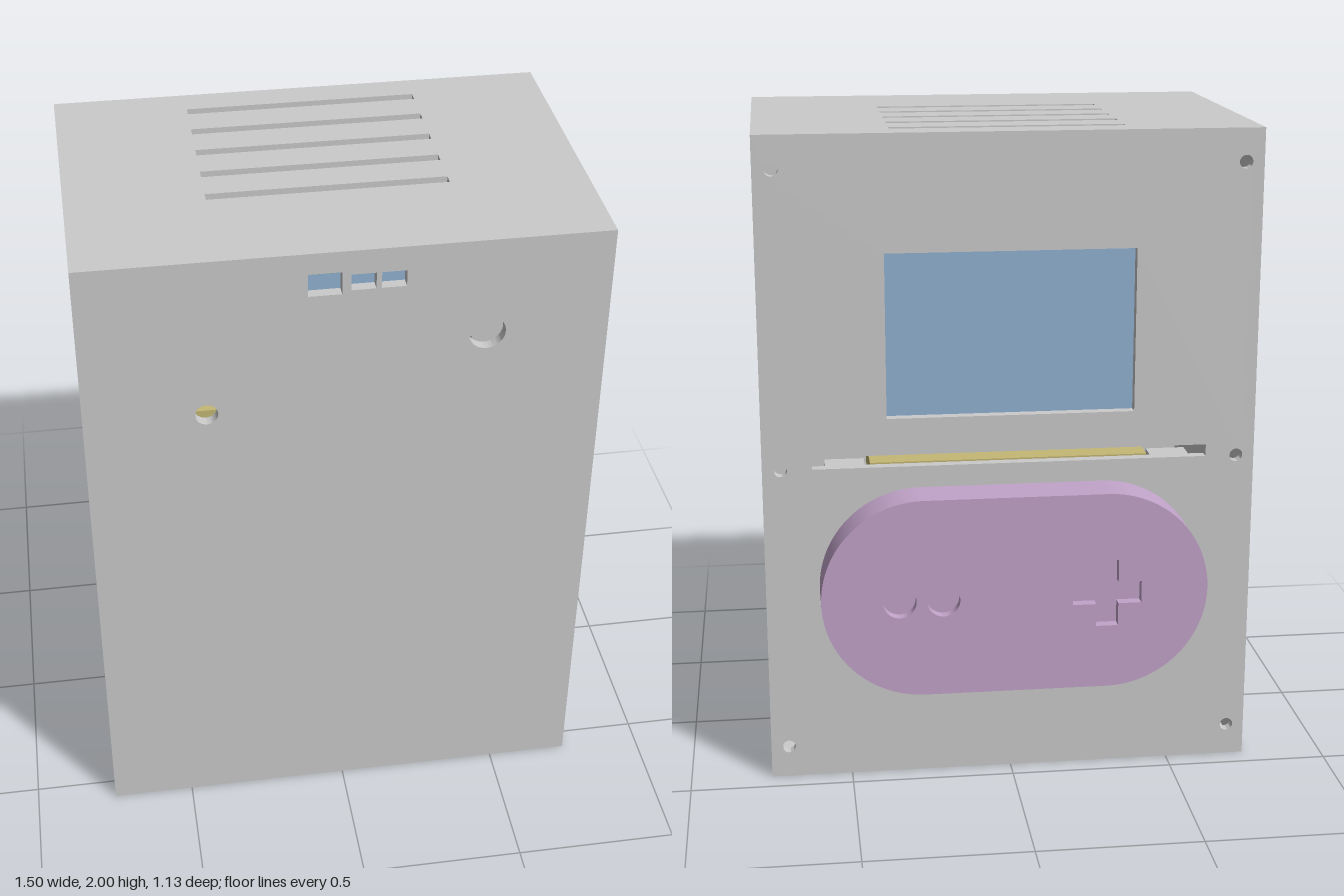
import * as THREE from 'three';
import { toCreasedNormals } from 'three/addons/utils/BufferGeometryUtils.js';

const GREY = 0xcccccc, PURPLE = 0xc2a4ca, BLUE = 0x93b3d4, YELLOW = 0xc4b875, GREEN = 0x78b87a;
const T = 0.033; // wall thickness
const W = 0.75, H = 2, BACK = -0.433, FRONT = 0.567;

function add(group, name, geometry, color = GREY) {
  const mesh = new THREE.Mesh(geometry, new THREE.MeshStandardMaterial({ color }));
  mesh.name = name;
  group.add(mesh);
  return mesh;
}

// Box given by its limits on each axis
function block(group, name, [x0, x1], [y0, y1], [z0, z1], color) {
  const mesh = add(group, name, new THREE.BoxGeometry(x1 - x0, y1 - y0, z1 - z0), color);
  mesh.position.set((x0 + x1) / 2, (y0 + y1) / 2, (z0 + z1) / 2);
  return mesh;
}

function rect(x0, x1, y0, y1) {
  return new THREE.Shape([[x0, y0], [x1, y0], [x1, y1], [x0, y1]].map(p => new THREE.Vector2(...p)));
}

function circle(x, y, r) {
  return new THREE.Path().absarc(x, y, r, 0, Math.PI * 2, false);
}

function extrude(shape, depth, holes = []) {
  shape.holes.push(...holes);
  const g = new THREE.ExtrudeGeometry(shape, { depth, bevelEnabled: false, curveSegments: 32 });
  return toCreasedNormals(g, 0.5);
}

// Capsule outline of the controller, with an optional notch in its lower edge
function capsule(notch = 0) {
  const r = 0.31, c = 0.277, y = 0.623, n = 0.07;
  const s = new THREE.Shape();
  s.moveTo(-c, y - r);
  if (notch) {
    s.lineTo(-n, y - r);
    s.lineTo(-n, y - r + notch);
    s.lineTo(n, y - r + notch);
    s.lineTo(n, y - r);
  }
  s.lineTo(c, y - r);
  s.absarc(c, y, r, -Math.PI / 2, Math.PI / 2, false);
  s.absarc(-c, y, r, Math.PI / 2, Math.PI * 1.5, false);
  return s;
}

// Plus-shaped opening
function cross(x, y, a, b) {
  return new THREE.Path([
    [-b, -a], [b, -a], [b, -b], [a, -b], [a, b], [b, b],
    [b, a], [-b, a], [-b, b], [-a, b], [-a, -b], [-b, -b],
  ].map(([u, v]) => new THREE.Vector2(x + u, y + v)));
}

function createCase() {
  const g = new THREE.Group();
  g.name = 'case';

  // Front wall with port openings and two round openings
  add(g, 'frontWall', extrude(rect(-W, W, 0, H), T, [
    rect(-0.11, -0.015, 1.865, 1.935),
    rect(0.01, 0.08, 1.875, 1.925),
    rect(0.095, 0.165, 1.875, 1.925),
    circle(0.4, 1.7, 0.053),
    circle(-0.4, 1.5, 0.033),
  ])).position.z = FRONT - T;

  // Back panel with screen window, long slot and six screw holes
  const backHoles = [rect(-0.375, 0.375, 1.15, 1.65), rect(-0.6, 0.6, 1.0, 1.037)];
  for (const x of [-0.695, 0.695]) for (const y of [0.1, 1, 1.9]) backHoles.push(circle(x, y, 0.02));
  add(g, 'backPanel', extrude(rect(-W, W, 0, H), T, backHoles)).position.z = BACK;

  // Top with five vents
  const v0 = -(FRONT - T), v1 = -(BACK + T);
  const vents = [];
  for (let i = 0; i < 5; i++) {
    const v = 0.32 - i * 0.1335;
    vents.push(rect(-0.35, 0.35, v - T / 2, v + T / 2));
  }
  const top = add(g, 'top', extrude(rect(-W, W, v0, v1), T, vents));
  top.rotation.x = -Math.PI / 2;
  top.position.y = H - T;

  // Base with a round opening cut off by the back panel
  const r = 0.39, cv = 0.187, phi = Math.asin((v1 - cv) / r);
  const base = new THREE.Shape();
  base.moveTo(-W, v0);
  base.lineTo(W, v0);
  base.lineTo(W, v1);
  base.lineTo(r * Math.cos(phi), v1);
  base.absarc(0, cv, r, phi, Math.PI - phi, true);
  base.lineTo(-W, v1);
  add(g, 'base', extrude(base, T)).rotation.x = -Math.PI / 2;

  // Side walls
  for (const [name, x] of [['leftWall', W - T], ['rightWall', -W]])
    block(g, name, [x, x + T], [T, H - T], [BACK + T, FRONT - T]);
  return g;
}

function createController() {
  const g = new THREE.Group();
  g.name = 'controller';
  // Solid layers, one with a socket in its lower edge, then a pierced face
  const layers = [
    ['controllerBack', -0.465, 0.032, capsule(), []],
    ['controllerSocketLayer', -0.51, 0.045, capsule(0.05), []],
    ['controllerBody', -0.534, 0.024, capsule(), []],
    ['controllerFace', -0.567, 0.033, capsule(), [
      circle(0.352, 0.615, 0.05), circle(0.22, 0.615, 0.05), cross(-0.278, 0.617, 0.105, 0.034),
    ]],
  ];
  for (const [name, z, depth, shape, holes] of layers)
    add(g, name, extrude(shape, depth, holes), PURPLE).position.z = z;
  return g;
}

export function createModel() {
  const model = new THREE.Group();
  model.name = 'console';
  model.add(createCase(), createController());

  // Parts inside the case
  block(model, 'display', [-0.43, 0.43], [1.12, 1.68], [-0.4, -0.29], BLUE);
  block(model, 'battery', [-0.425, 0.425], [0.93, 1.0], [-0.385, -0.15], YELLOW);
  block(model, 'circuitBoard', [-0.43, 0.43], [1.893, 1.907], [-0.1, 0.5], GREEN);
  for (const x of [-0.5, 0.5])
    block(model, 'batteryBracket', [x - 0.06, x + 0.06], [0.93, 0.99], [-0.4, -0.3]);
  return model;
}
